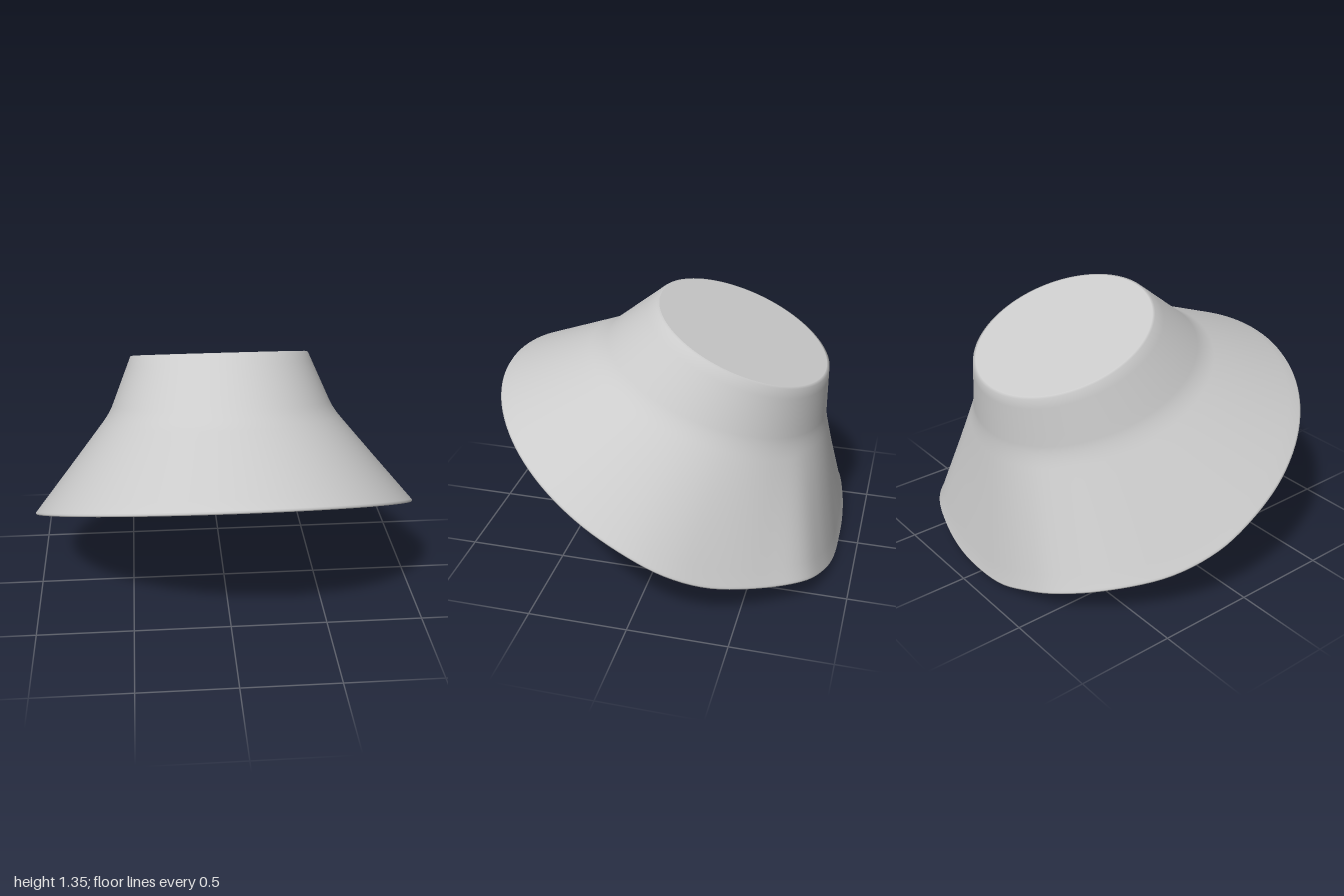
import * as THREE from 'three';

const SEG = 128;
const V = (x, y, z) => new THREE.Vector3(x, y, z);
const material = new THREE.MeshStandardMaterial({ color: 0xcccccc, side: THREE.DoubleSide });

// Skin a list of closed rings, ordered from the outer top downwards
function loft(rings, name) {
  const pos = [], index = [];
  rings.forEach(ring => ring.forEach(p => pos.push(p.x, p.y, p.z)));
  for (let i = 0; i < rings.length - 1; i++) {
    for (let j = 0; j < SEG; j++) {
      const k = (j + 1) % SEG;
      const a = i * SEG + j, b = i * SEG + k, c = a + SEG, d = b + SEG;
      index.push(a, c, d, a, d, b);
    }
  }
  const geo = new THREE.BufferGeometry();
  geo.setAttribute('position', new THREE.Float32BufferAttribute(pos, 3));
  geo.setIndex(index);
  geo.computeVertexNormals();
  const mesh = new THREE.Mesh(geo, material);
  mesh.name = name;
  return mesh;
}

const mix = (A, B, t) => A.map((p, j) => p.clone().lerp(B[j], t));

// Walls run straight from crown top to band to brim, with a softened bend at the band
function wall(top, mid, brim) {
  const rings = [];
  const p = mix(mid, top, 0.15), q = mix(mid, brim, 0.1);
  for (let i = 0; i < 5; i++) rings.push(mix(top, p, i / 5));
  for (let i = 0; i <= 6; i++) {
    const t = i / 6;
    rings.push(mix(mix(p, mid, t), mix(mid, q, t), t));
  }
  for (let i = 1; i <= 8; i++) rings.push(mix(q, brim, i / 8));
  return rings;
}

export function createModel() {
  const group = new THREE.Group();
  group.name = 'hat';

  // Brim edge: tilted oval at the front, drooping and flattened at the back
  const front = [];
  for (let a = -90; a <= 90; a += 15) {
    const t = THREE.MathUtils.degToRad(a), z = 0.89 * Math.cos(t);
    front.push(V(Math.sin(t) * 0.995, 0.437 + 0.52 * z, z));
  }
  const back = [
    V(0.97, 0.335, -0.18), V(0.885, 0.24, -0.37), V(0.725, 0.168, -0.61), V(0.565, 0.128, -0.79),
    V(0.38, 0.073, -0.86), V(0.19, 0.024, -0.888), V(0, 0.008, -0.892), V(-0.19, 0.028, -0.888),
    V(-0.36, 0.08, -0.865), V(-0.52, 0.13, -0.815), V(-0.715, 0.187, -0.66), V(-0.89, 0.25, -0.4),
    V(-0.975, 0.34, -0.18),
  ];
  const curve = new THREE.CatmullRomCurve3([...front, ...back], true);
  const brim = curve.getSpacedPoints(SEG).slice(0, SEG);

  // Crown rings follow the direction of each brim point
  const angles = brim.map(p => Math.atan2(p.x, p.z / 0.9));
  const tilted = (rx, rz, cy, cz, slope) => angles.map(a =>
    V(rx * Math.sin(a), cy + slope * rz * Math.cos(a), cz + rz * Math.cos(a)));
  const top = tilted(0.475, 0.435, 1.175, -0.345, 0.4);
  const mid = tilted(0.595, 0.585, 0.915, -0.195, 0.333);
  const topIn = tilted(0.455, 0.415, 1.15, -0.345, 0.4);
  const midIn = tilted(0.572, 0.562, 0.895, -0.195, 0.333);
  const capRing = tilted(0.462, 0.422, 1.179, -0.345, 0.4);

  // Rounded lip joining the outer wall to the lining
  const radial = (s, dy) => brim.map(p => V(p.x * s, p.y + dy, p.z * s));
  const edge = radial(1, 0.01), lip = [radial(1.006, 0.002), radial(1.004, -0.006), radial(0.994, -0.009)];
  const brimIn = radial(0.982, -0.004);

  group.add(loft([capRing, ...wall(top, mid, edge), ...lip, ...wall(topIn, midIn, brimIn).reverse()], 'crownAndBrim'));

  // Flat crown top and its underside
  const centre = y => angles.map(() => V(0, y, -0.345));
  group.add(loft([centre(1.179), capRing], 'crownTop'));
  group.add(loft([topIn, centre(1.15)], 'crownLining'));
  return group;
}
